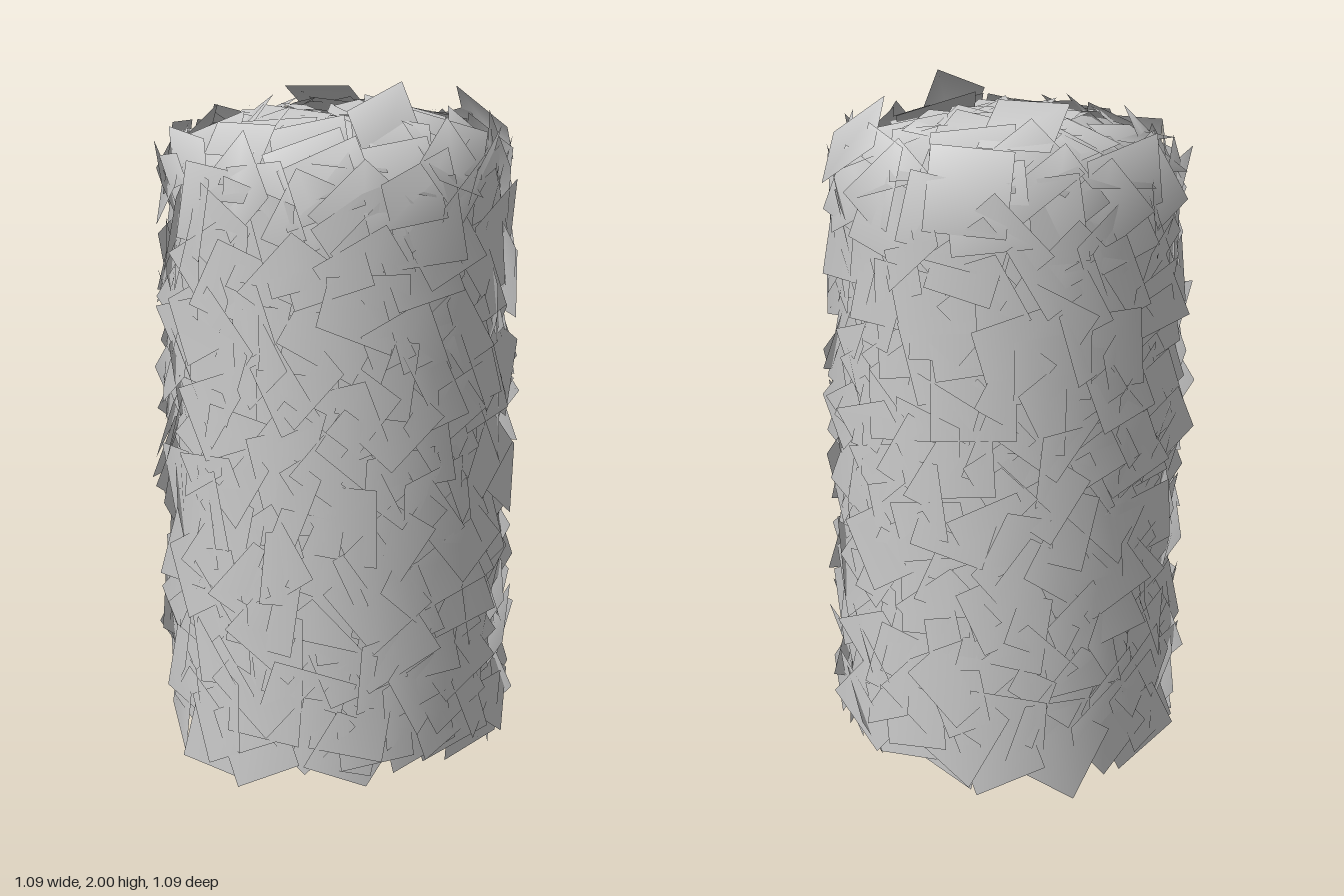
import * as THREE from 'three';
import { mergeGeometries } from 'three/addons/utils/BufferGeometryUtils.js';

// Small seeded random generator, so the foliage is always the same
function makeRandom(seed) {
  return () => {
    seed = (seed * 1664525 + 1013904223) % 4294967296;
    return seed / 4294967296;
  };
}

const GOLDEN = Math.PI * (3 - Math.sqrt(5));
const UP = new THREE.Vector3(0, 1, 0);
const FORWARD = new THREE.Vector3(0, 0, 1);

// Soft outward direction of the rounded hedge at a point
function hedgeNormal(p) {
  const lift = THREE.MathUtils.smoothstep(p.y, 1.7, 1.89);
  const r = Math.hypot(p.x, p.z) || 1;
  const flat = 1 - THREE.MathUtils.clamp((r - 0.2) / 0.3, 0, 1) * 0.6;
  const side = new THREE.Vector3(p.x / r, 0, p.z / r);
  return side.multiplyScalar(1 - lift * flat).addScaledVector(UP, lift * flat).normalize();
}

// One square leaf card lying roughly on the surface, shaded like the hedge.
// Cards facing sideways or up share a similar roll; front and back ones are mixed.
function leafCard(center, outward, rand, tilt) {
  const card = new THREE.PlaneGeometry(0.2 + rand() * 0.04, 0.2 + rand() * 0.04);
  const spread = 0.5 + 2.6 * outward.z ** 2;
  card.rotateZ(0.45 + (rand() - 0.5) * spread);
  card.rotateX((rand() - 0.5) * tilt);
  card.rotateY((rand() - 0.5) * tilt);
  card.applyQuaternion(new THREE.Quaternion().setFromUnitVectors(FORWARD, outward));
  card.translate(center.x, center.y, center.z);
  const pos = card.attributes.position;
  const p = new THREE.Vector3();
  for (let i = 0; i < pos.count; i++) {
    const n = hedgeNormal(p.fromBufferAttribute(pos, i));
    card.attributes.normal.setXYZ(i, n.x, n.y, n.z);
  }
  return card;
}

export function createModel() {
  const hedge = new THREE.Group();
  hedge.name = 'columnHedge';
  const rand = makeRandom(11);
  const material = new THREE.MeshStandardMaterial({ color: 0xcccccc, side: THREE.DoubleSide });

  // Smooth hollow core, open below, with a rounded crown
  const profile = [
    [0.4, 0.12], [0.42, 0.19], [0.43, 0.3], [0.43, 1.68],
    [0.42, 1.75], [0.37, 1.82], [0.28, 1.86], [0, 1.875],
  ].map(([r, y]) => new THREE.Vector2(r, y));
  const core = new THREE.Mesh(new THREE.LatheGeometry(profile, 32), material);
  core.name = 'hedgeCore';
  hedge.add(core);

  // Leaf cards wound around the upright side
  const sideCards = [];
  const sideCount = 520;
  for (let i = 0; i < sideCount; i++) {
    const angle = i * GOLDEN + (rand() - 0.5) * 0.2;
    const outward = new THREE.Vector3(Math.sin(angle), 0, Math.cos(angle));
    const center = outward.clone().multiplyScalar(0.45 + rand() * 0.025);
    center.y = 0.13 + 1.64 * (i + rand()) / sideCount;
    sideCards.push(leafCard(center, outward, rand, 0.75));
  }

  // Leaf cards spread over the crown, leaning out towards its shoulder
  const crownCards = [];
  const crownCount = 56;
  for (let i = 0; i < crownCount; i++) {
    const angle = i * GOLDEN;
    const r = 0.43 * Math.sqrt((i + 0.5) / crownCount);
    const lean = 0.75 * (r / 0.43) ** 2;
    const center = new THREE.Vector3(Math.sin(angle) * r, 1.885 - 1.2 * r ** 3, Math.cos(angle) * r);
    const outward = new THREE.Vector3(
      Math.sin(angle) * Math.sin(lean), Math.cos(lean), Math.cos(angle) * Math.sin(lean));
    crownCards.push(leafCard(center, outward, rand, 0.6));
  }

  // A few loose cards standing up from the crown: position, then facing
  const looseCards = [
    [0.32, 1.865, 0.12, 0.95, 0.2, 0.1],
    [-0.22, 1.9, -0.2, -0.2, 0.85, -0.4],
    [0.21, 1.85, -0.41, 0.3, 0.65, -0.65],
  ].map(([x, y, z, nx, ny, nz]) => leafCard(
    new THREE.Vector3(x, y, z), new THREE.Vector3(nx, ny, nz).normalize(), rand, 0));

  const layers = { sideLeaves: sideCards, crownLeaves: crownCards, looseLeaves: looseCards };
  for (const [name, cards] of Object.entries(layers)) {
    const mesh = new THREE.Mesh(mergeGeometries(cards), material);
    mesh.name = name;
    hedge.add(mesh);
  }
  return hedge;
}
